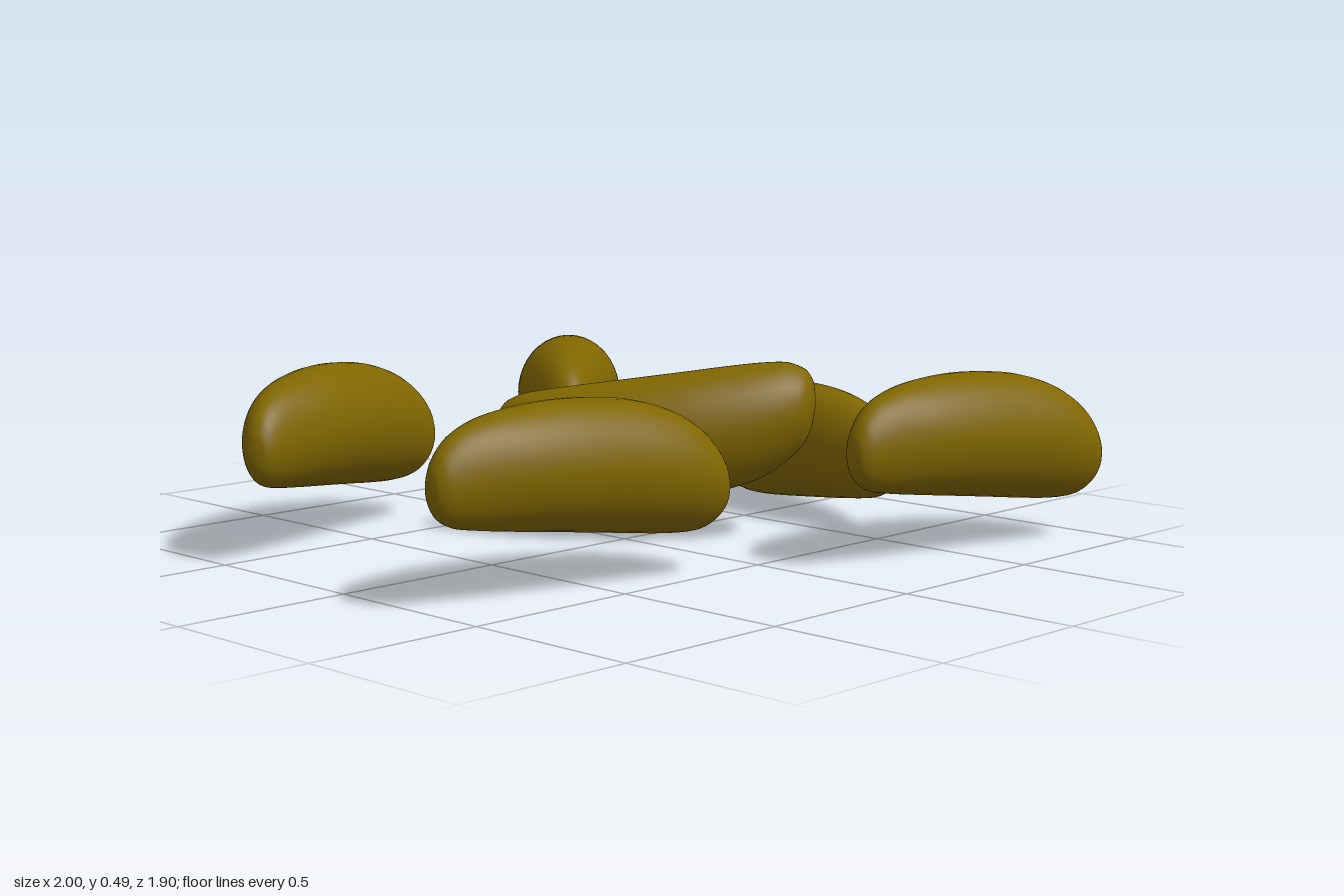
import * as THREE from 'three';
import { ParametricGeometry } from 'three/addons/geometries/ParametricGeometry.js';
import { mergeVertices } from 'three/addons/utils/BufferGeometryUtils.js';

// Stations along one bean: x, top, bottom, back, front
const STATIONS = [
  [0.11, 0.31, 0.31, 0.73, 0.73],
  [0.115, 0.35, 0.265, 0.705, 0.755],
  [0.135, 0.39, 0.23, 0.685, 0.775],
  [0.18, 0.43, 0.205, 0.66, 0.795],
  [0.25, 0.46, 0.19, 0.637, 0.82],
  [0.35, 0.48, 0.175, 0.615, 0.855],
  [0.5, 0.49, 0.155, 0.603, 0.89],
  [0.65, 0.483, 0.135, 0.61, 0.915],
  [0.75, 0.468, 0.122, 0.628, 0.932],
  [0.85, 0.435, 0.112, 0.658, 0.944],
  [0.92, 0.39, 0.112, 0.69, 0.942],
  [0.97, 0.335, 0.132, 0.725, 0.918],
  [0.99, 0.285, 0.162, 0.762, 0.882],
  [1.0, 0.22, 0.22, 0.82, 0.82],
];

// Oval sections swept along a curved spine, narrow at -x and fat at +x
function beanGeometry() {
  const spine = new THREE.CatmullRomCurve3(STATIONS.map(([x, t, b, k, f]) =>
    new THREE.Vector3(x, (t + b) / 2, (k + f) / 2)));
  const size = new THREE.CatmullRomCurve3(STATIONS.map(([x, t, b, k, f]) =>
    new THREE.Vector3(x, (t - b) / 2, (f - k) / 2)));
  const c = new THREE.Vector3(), r = new THREE.Vector3();
  const surface = (u, v, target) => {
    spine.getPoint(v, c);
    size.getPoint(v, r);
    const a = (u % 1) * Math.PI * 2;
    target.set(c.x, c.y + Math.cos(a) * r.y, c.z + Math.sin(a) * r.z);
  };
  const raw = new ParametricGeometry(surface, 40, 52);
  raw.deleteAttribute('normal');
  raw.deleteAttribute('uv');
  const geometry = mergeVertices(raw, 1e-5);
  geometry.computeVertexNormals();
  return geometry.center();
}

// Centre of each bean, its turn about y and its roll about its length (degrees)
const BEANS = [
  { name: 'frontLeftBean', at: [0.555, 0.3, 0.775], yaw: 0, roll: 0 },
  { name: 'frontRightBean', at: [-0.555, 0.3, 0.383], yaw: 0, roll: 0 },
  { name: 'backRightBean', at: [-0.542, 0.3, -0.615], yaw: 30, roll: 0 },
  { name: 'backLeftBean', at: [0.408, 0.3, -0.615], yaw: 51, roll: 0 },
  { name: 'leftBean', at: [0.755, 0.19, 0.058], yaw: 77, roll: 0 },
  { name: 'middleBean', at: [0.113, 0.305, 0.04], yaw: -54, roll: 180 },
];

export function createModel() {
  const group = new THREE.Group();
  group.name = 'beans';
  const material = new THREE.MeshStandardMaterial({ color: 0x806600 });
  const bean = beanGeometry();
  for (const { name, at, yaw, roll } of BEANS) {
    const geometry = bean.clone()
      .rotateX(THREE.MathUtils.degToRad(roll))
      .rotateY(THREE.MathUtils.degToRad(yaw))
      .center();
    const mesh = new THREE.Mesh(geometry, material);
    mesh.name = name;
    mesh.position.set(...at);
    group.add(mesh);
  }
  return group;
}
